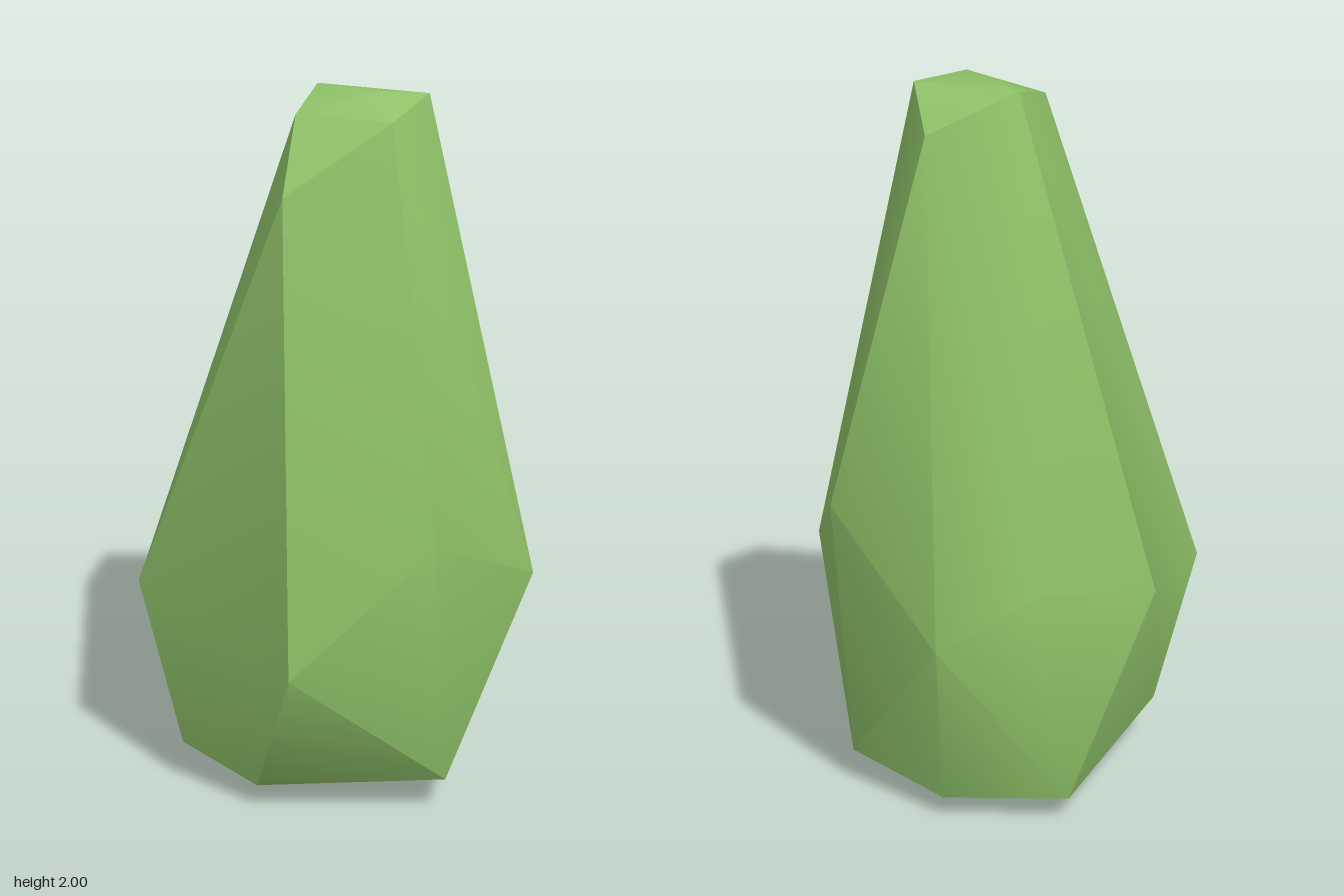
import * as THREE from 'three';
import { ConvexGeometry } from 'three/addons/geometries/ConvexGeometry.js';
import { toCreasedNormals } from 'three/addons/utils/BufferGeometryUtils.js';

export function createModel() {
  const group = new THREE.Group();
  group.name = 'taperedBush';
  const leafGreen = new THREE.MeshStandardMaterial({ color: 0x8fc168 });
  leafGreen.name = 'leafGreen';

  // Uneven rings of corners, from the ground to the crown
  const base = [[-0.06, 0, 0.16], [0, 0.01, -0.1]];
  const lowerRing = [
    [0.43, 0.1, 0.11], [0.34, 0.06, -0.22], [0.07, 0.07, -0.44],
    [-0.46, 0.13, -0.15], [-0.395, 0.075, 0.11], [-0.01, 0.11, 0.47],
  ];
  const widestRing = [
    [0.52, 0.88, 0.055], [0.437, 0.56, -0.335], [0.215, 0.72, -0.485],
    [-0.145, 0.67, -0.535], [-0.52, 0.61, -0.26], [-0.465, 0.5, 0.345],
    [-0.115, 0.85, 0.535], [0.325, 0.64, 0.455],
  ];
  const crown = [
    [-0.33, 1.76, 0.165], [0.23, 1.87, 0.01], [-0.185, 1.94, 0.04],
    [-0.06, 1.94, 0.285], [0.09, 1.975, 0.22], [0.137, 1.98, 0.205],
    [0, 1.98, -0.095], [-0.02, 2, 0.18],
  ];

  // Faceted convex body, softened except at its sharper edges
  const points = [...base, ...lowerRing, ...widestRing, ...crown]
    .map((p) => new THREE.Vector3(...p));
  const body = new THREE.Mesh(toCreasedNormals(new ConvexGeometry(points), 0.65), leafGreen);
  body.name = 'foliage';
  group.add(body);
  return group;
}
